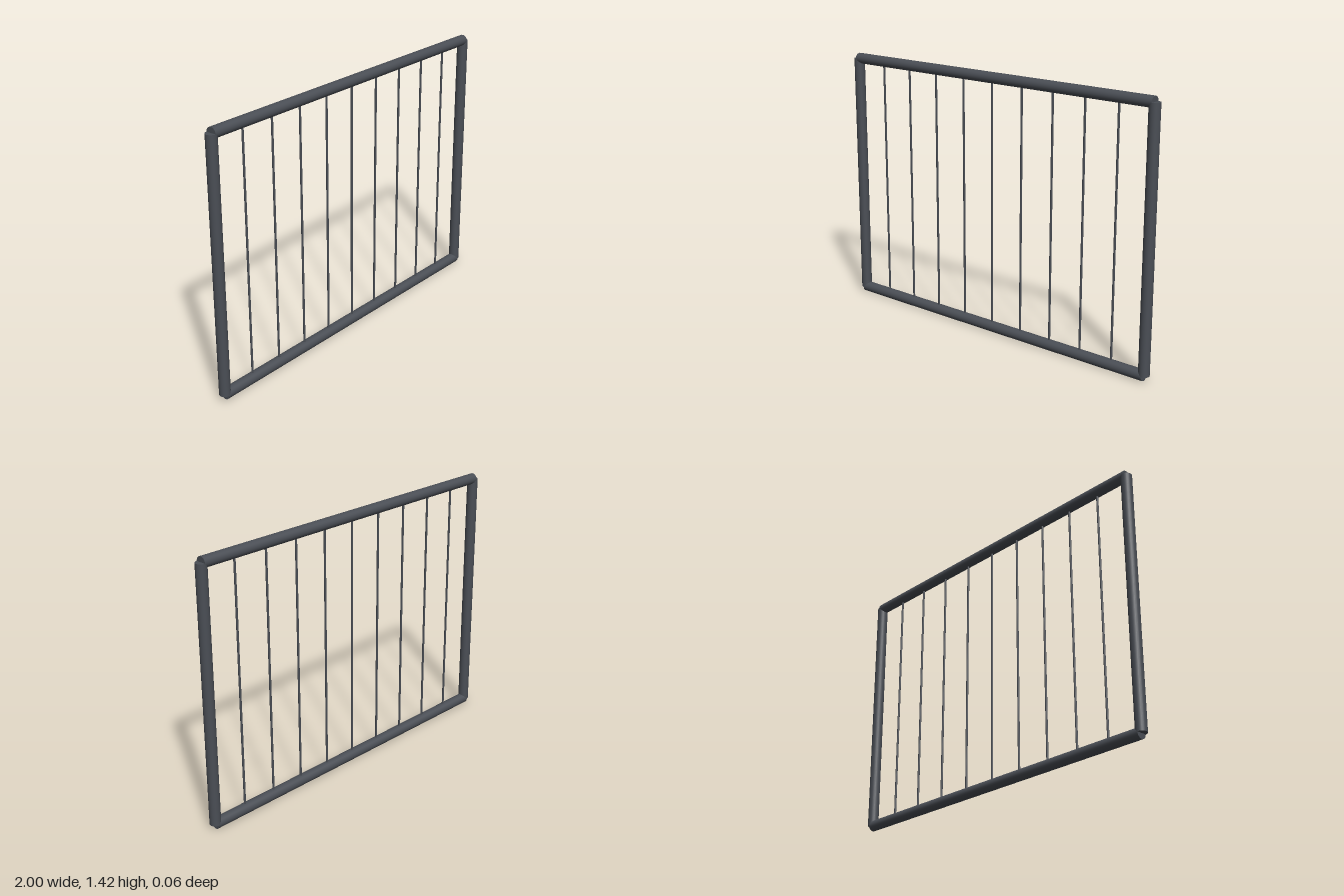
import * as THREE from 'three';

const SPAN = 1.942;   // distance between post axes
const RISE = 1.359;   // distance between rail axes
const TUBE = 0.029;   // frame tube radius
const BAR = 0.0058;   // thin bar radius
const BAYS = 10;      // gaps between the bars

export function createModel() {
  const model = new THREE.Group();
  model.name = 'railingPanel';

  const steel = new THREE.MeshStandardMaterial({ color: 0x4a4e55 });
  steel.name = 'dark grey steel';

  const midY = TUBE + RISE / 2;

  function addRod(name, geometry, x, y, horizontal = false) {
    const rod = new THREE.Mesh(geometry, steel);
    rod.name = name;
    rod.position.set(x, y, 0);
    if (horizontal) rod.rotation.z = Math.PI / 2;
    model.add(rod);
  }

  // Outer frame: flat-ended round tubes meeting at their axes
  const post = new THREE.CylinderGeometry(TUBE, TUBE, RISE, 24);
  const rail = new THREE.CylinderGeometry(TUBE, TUBE, SPAN, 24);
  addRod('leftPost', post, SPAN / 2, midY);
  addRod('rightPost', post, -SPAN / 2, midY);
  addRod('bottomRail', rail, 0, TUBE, true);
  addRod('topRail', rail, 0, TUBE + RISE, true);

  // Evenly spaced thin bars between the rails
  const bar = new THREE.CylinderGeometry(BAR, BAR, RISE, 12);
  for (let i = 1; i < BAYS; i++) {
    addRod(`bar${i}`, bar, -SPAN / 2 + (SPAN * i) / BAYS, midY);
  }

  return model;
}
